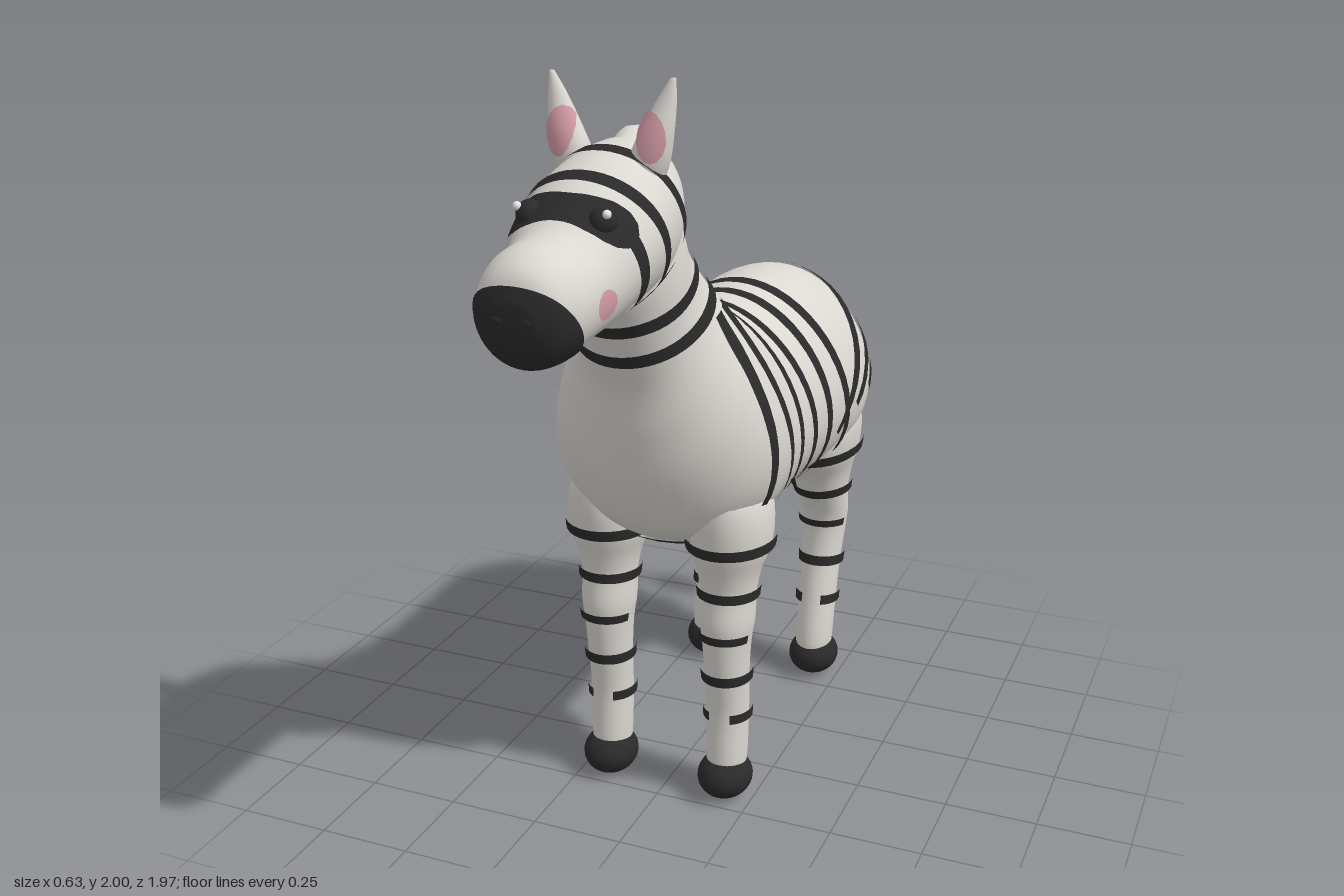
import * as THREE from 'three';

const mat = (name, color) => Object.assign(new THREE.MeshStandardMaterial({ color }), { name });

// Smooth skin through oval sections [zTop, yTop, zBottom, yBottom, halfWidth]; egg widens the lower half
function loft(stations, egg = 0, sides = 40, steps = 6) {
  const top = new THREE.CatmullRomCurve3(stations.map(s => new THREE.Vector3(s[4], s[1], s[0])));
  const low = new THREE.CatmullRomCurve3(stations.map(s => new THREE.Vector3(s[4], s[3], s[2])));
  const n = (stations.length - 1) * steps;
  const pos = [], index = [];
  for (let i = -1; i <= n + 1; i++) {
    const u = Math.min(Math.max(i / n, 0), 1);
    const size = i < 0 || i > n ? 0 : 1; // closed ends
    const t = top.getPoint(u), b = low.getPoint(u);
    for (let j = 0; j < sides; j++) {
      const a = j / sides * Math.PI * 2, c = Math.cos(a) * size / 2;
      pos.push(t.x * Math.sin(a) * size * (1 - egg * Math.cos(a)),
        (t.y + b.y) / 2 + (t.y - b.y) * c, (t.z + b.z) / 2 + (t.z - b.z) * c);
      if (i <= n) {
        const r = (i + 1) * sides, k = (j + 1) % sides;
        index.push(r + j, r + sides + j, r + k, r + k, r + sides + j, r + sides + k);
      }
    }
  }
  const g = new THREE.BufferGeometry();
  g.setAttribute('position', new THREE.Float32BufferAttribute(pos, 3));
  g.setIndex(index);
  g.computeVertexNormals();
  return g;
}

// Cuts out the part of a skin where every linear rule is positive, and lifts it slightly
function paint(geo, rules, lift = 0.007) {
  const src = geo.toNonIndexed(), P = src.attributes.position, N = src.attributes.normal;
  const pos = [], nor = [];
  for (let i = 0; i < P.count; i += 3) {
    let poly = [0, 1, 2].map(k => ({
      p: new THREE.Vector3().fromBufferAttribute(P, i + k),
      n: new THREE.Vector3().fromBufferAttribute(N, i + k) }));
    for (const f of rules) {
      const out = [];
      poly.forEach((a, k) => {
        const b = poly[(k + 1) % poly.length], fa = f(a.p), fb = f(b.p);
        if (fa >= 0) out.push(a);
        if (fa >= 0 !== fb >= 0) {
          const t = fa / (fa - fb);
          out.push({ p: a.p.clone().lerp(b.p, t), n: a.n.clone().lerp(b.n, t) });
        }
      });
      poly = out;
      if (poly.length < 3) break;
    }
    for (let k = 1; k + 1 < poly.length; k++) {
      for (const v of [poly[0], poly[k], poly[k + 1]]) {
        const n = v.n.clone().normalize();
        pos.push(...v.p.clone().addScaledVector(n, lift).toArray());
        nor.push(...n.toArray());
      }
    }
  }
  const g = new THREE.BufferGeometry();
  g.setAttribute('position', new THREE.Float32BufferAttribute(pos, 3));
  g.setAttribute('normal', new THREE.Float32BufferAttribute(nor, 3));
  return g;
}

// Rules for a tapering stripe between two side-on points (z, y)
function stripe(z0, y0, z1, y1, width = 0.045, taper = 0, extend = 0) {
  const len = Math.hypot(z1 - z0, y1 - y0), dz = (z1 - z0) / len, dy = (y1 - y0) / len;
  const along = p => (p.z - z0) * dz + (p.y - y0) * dy;
  const across = p => (p.z - z0) * dy - (p.y - y0) * dz;
  const half = p => width / 2 * (1 - taper * along(p) / len);
  return [p => along(p) + extend, p => len - along(p), p => half(p) - across(p), p => half(p) + across(p)];
}

// Rules for an oval patch seen along one axis; u is 'z' (side on) or 'x' (front on)
const oval = (u, cu, cy, ru, ry) => Array.from({ length: 14 }, (_, i) => {
  const a = i / 14 * Math.PI * 2;
  return p => 1 - (p[u] - cu) / ru * Math.cos(a) - (p.y - cy) / ry * Math.sin(a);
});

export function createModel() {
  const model = new THREE.Group();
  const coat = mat('coat', 0xdbd7d1), black = mat('black', 0x2a2a2a);
  const pink = mat('pink', 0xd39ba6), white = mat('eyeHighlight', 0xf4f4f4);
  const add = (name, geo, m) => {
    const mesh = new THREE.Mesh(geo, m);
    mesh.name = name;
    model.add(mesh);
    return mesh;
  };
  const ball = (name, m, r, at) => {
    const mesh = add(name, new THREE.SphereGeometry(1, 28, 18), m);
    mesh.scale.set(...r);
    mesh.position.set(...at);
  };

  // Trunk and neck in one skin, rump to throat
  const body = loft([
    [-.875, 1.06, -.87, .98, .03], [-.85, 1.15, -.845, .88, .14], [-.79, 1.22, -.79, .77, .22],
    [-.70, 1.275, -.70, .70, .285], [-.58, 1.3, -.58, .68, .305], [-.4, 1.305, -.4, .69, .29],
    [-.2, 1.305, -.2, .71, .28], [-.05, 1.33, 0, .715, .29], [.03, 1.365, .15, .73, .305],
    [.09, 1.41, .285, .80, .295], [.13, 1.46, .375, .95, .25], [.15, 1.50, .415, 1.1, .2],
    [.18, 1.54, .44, 1.23, .165], [.22, 1.60, .48, 1.32, .145], [.26, 1.68, .53, 1.42, .14],
    [.30, 1.76, .58, 1.5, .125], [.36, 1.78, .58, 1.6, .08]], 0.12, 48);
  add('body', body, coat);

  const head = loft([
    [.28, 1.74, .30, 1.66, .02], [.30, 1.80, .37, 1.56, .10], [.36, 1.84, .46, 1.49, .15],
    [.46, 1.845, .55, 1.475, .168], [.58, 1.82, .63, 1.475, .17], [.68, 1.775, .70, 1.46, .155],
    [.78, 1.715, .79, 1.45, .135], [.90, 1.70, .89, 1.442, .125], [.955, 1.665, .94, 1.455, .10],
    [.98, 1.6, .972, 1.51, .05]], 0, 48);
  add('head', head, coat);

  // Trunk stripes
  [[.245, 1.395, .155, .81, .042, .4, 0], [.18, 1.38, .005, .785, .045, .4, .03],
    [.005, 1.37, -.105, .715], [-.095, 1.335, -.255, .72], [-.25, 1.3, -.35, .73],
    [-.36, 1.3, -.475, .80], [-.71, 1.27, -.40, .88], [-.805, 1.195, -.51, .935],
    [-.85, 1.115, -.615, .955]
  ].forEach(([z0, y0, z1, y1, w = .05, t = .45, e = .07]) =>
    add('bodyStripe', paint(body, stripe(z0, y0, z1, y1, w, t, e)), black));
  // Bands at the tops of the legs
  add('chestBand', paint(body, stripe(.4, .765, 0, .765, .03)), black);
  add('rumpBand', paint(body, stripe(-.9, .765, -.41, .765, .03)), black);

  // Neck rings and head rings
  [[.55, 1.30, .18, 1.46], [.56, 1.4, .2, 1.55]].forEach(s =>
    add('neckRing', paint(body, stripe(...s, .036)), black));
  add('jawRing', paint(head, stripe(.62, 1.49, .32, 1.64, .036)), black);
  [[.72, 1.80, .63, 1.475, .042], [.66, 1.86, .51, 1.5, .038], [.53, 1.87, .41, 1.58, .038]].forEach(s =>
    add('headRing', paint(head, stripe(...s, .3)), black));

  // Muzzle, cheeks, nostrils and eyes
  add('muzzle', paint(head, [p => .82 * (p.z - .905) - .57 * (p.y - 1.545)], .006), black);
  add('cheeks', paint(head, oval('z', .81, 1.57, .04, .031), .009), pink);
  add('eyePatches', paint(head, oval('z', .71, 1.72, .052, .052), .009), black);
  for (const s of [-1, 1]) {
    ball('eye', black, [.032, .034, .034], [s * .088, 1.725, .715]);
    ball('eyeHighlight', white, [.01, .01, .01], [s * .108, 1.747, .737]);
    ball('nostril', black, [.016, .011, .008], [s * .035, 1.565, .978]);
  }

  // Mane ridge with dark patches
  const mane = new THREE.TubeGeometry(new THREE.CatmullRomCurve3(
    [[.42, 1.79], [.345, 1.82], [.30, 1.765], [.26, 1.69], [.22, 1.615], [.17, 1.53], [.145, 1.44], [.10, 1.385]]
      .map(([z, y]) => new THREE.Vector3(0, y, z))), 48, .046, 16);
  add('mane', mane, coat);
  ball('maneEnd', black, [.046, .046, .046], [0, 1.385, .10]);
  [[.285, 1.735], [.21, 1.6], [.145, 1.425]].forEach(([z, y]) =>
    add('manePatch', paint(mane, stripe(z + .09, y - .04, z - .09, y + .04, .085)), black));

  // Legs, hooves and ears, mirrored
  const legs = {
    front: [[.27, .95, .02, .95, .05], [.285, .88, 0, .88, .10], [.275, .76, .02, .76, .11],
      [.25, .68, .065, .68, .085], [.24, .62, .08, .62, .075], [.25, .54, .085, .54, .074],
      [.245, .48, .095, .48, .066], [.235, .38, .10, .38, .06], [.22, .26, .095, .26, .057],
      [.225, .12, .10, .12, .055], [.22, .06, .11, .06, .05]],
    hind: [[-.42, .95, -.76, .95, .06], [-.40, .86, -.79, .86, .11], [-.43, .76, -.785, .76, .11],
      [-.50, .68, -.75, .68, .088], [-.54, .61, -.735, .61, .076], [-.585, .53, -.74, .53, .072],
      [-.595, .48, -.735, .48, .067], [-.585, .38, -.705, .38, .06], [-.555, .26, -.68, .26, .057],
      [-.525, .12, -.66, .12, .055], [-.53, .06, -.65, .06, .05]] };
  for (const s of [-1, 1]) {
    const x = s * .172;
    for (const [end, stations] of Object.entries(legs)) {
      const leg = loft(stations, 0, 28, 4).translate(x, 0, 0);
      add(end + 'Leg', leg, coat);
      const ring = (y, w, ...extra) =>
        add(end + 'LegRing', paint(leg, [...stripe(1, y, -1, y, w), ...extra], .01), black);
      [.765, .625, .38].forEach(y => ring(y, .03));
      // Broken rings
      const zMid = end === 'front' ? .172 : -.665;
      ring(.505, .024, p => p.z - zMid - .03);
      ring(.505, .024, p => zMid - .03 - p.z);
      ring(.26, .028, p => p.x - x - .025);
      ring(.26, .028, p => x - .025 - p.x);
      ball(end + 'Hoof', black, [.075, .064, .084], [x, .064, end === 'front' ? .175 : -.592]);
    }
    // Ear leaning outwards, with pink inside
    const ear = loft([[.475, 2, .465, 2, .006], [.49, 1.95, .455, 1.95, .023], [.515, 1.87, .445, 1.87, .042],
      [.52, 1.81, .44, 1.81, .05], [.51, 1.75, .44, 1.75, .045]], 0, 24);
    ear.applyMatrix4(new THREE.Matrix4().set(1, s * .3, 0, s * (.105 - 1.85 * .3), 0, 1, 0, 0, 0, 0, 1, 0, 0, 0, 0, 1));
    ear.computeVertexNormals();
    add('ear', ear, coat);
    add('innerEar', paint(ear, [...oval('x', s * .112, 1.87, .03, .054), p => p.z - .48], .008), pink);
  }

  // Tail and tuft
  add('tail', loft([[-.79, 1.09, -.855, 1.17, .04], [-.85, 1, -.895, 1.04, .03], [-.865, .9, -.915, .92, .022],
    [-.90, .78, -.94, .79, .018], [-.92, .64, -.952, .64, .016]], 0, 20), coat);
  ball('tailTuft', black, [.045, .105, .046], [0, .557, -.938]);
  return model;
}
